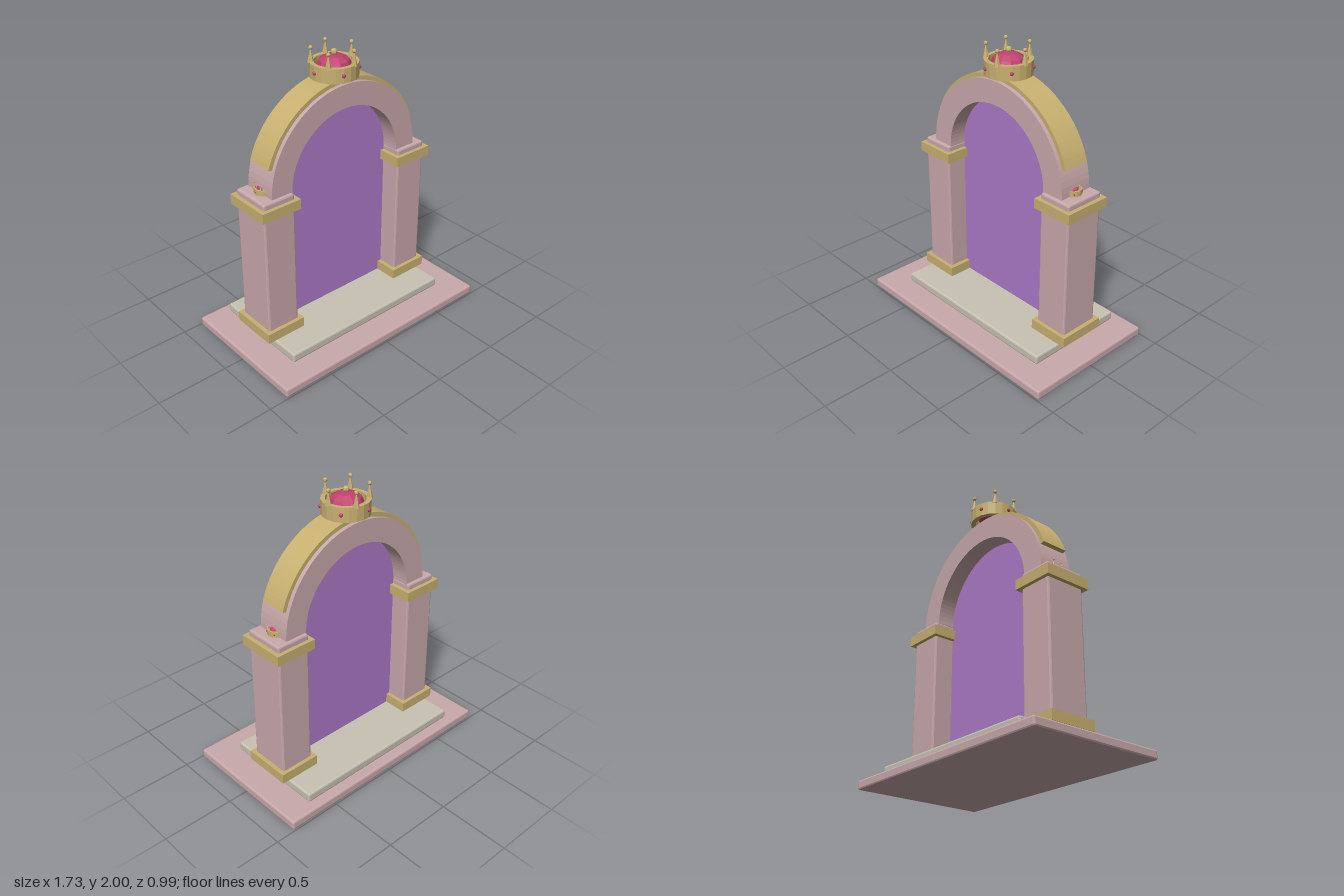
import * as THREE from 'three';
import { RoundedBoxGeometry } from 'three/addons/geometries/RoundedBoxGeometry.js';

const paint = (name, color, side = THREE.FrontSide) =>
  Object.assign(new THREE.MeshStandardMaterial({ color, side }), { name });

// Faceted normals without touching the material
function faceted(geometry) {
  const g = geometry.index ? geometry.toNonIndexed() : geometry;
  g.computeVertexNormals();
  return g;
}

export function createModel() {
  const model = new THREE.Group();
  model.name = 'archPortal';
  const pink = paint('pinkStone', 0xc9a9ab);
  const stone = paint('paleStone', 0xc8c2b3);
  const gold = paint('gold', 0xc8b070);
  const ruby = paint('ruby', 0xc0426f);
  const purple = paint('portalPurple', 0xad7ac8, THREE.DoubleSide);

  const Z = -0.053;        // depth centre of the gate
  const SPRING = 1.165;    // height where the arch starts

  function add(parent, name, geometry, material, x = 0, y = 0, z = 0) {
    const mesh = new THREE.Mesh(faceted(geometry), material);
    mesh.name = name;
    mesh.position.set(x, y, z);
    parent.add(mesh);
    return mesh;
  }
  // Chamfered block standing on y0
  const block = (name, w, y0, y1, d, material, x, z) =>
    add(model, name, new RoundedBoxGeometry(w, y1 - y0, d, 1, 0.012), material, x, (y0 + y1) / 2, z);
  // Curved bar of the given radii, centred on the gate depth
  function archBar(name, inner, outer, start, depth, material) {
    const shape = new THREE.Shape();
    shape.absarc(0, 0, outer, start, Math.PI - start, false);
    shape.absarc(0, 0, inner, Math.PI - start, start, true);
    const geo = new THREE.ExtrudeGeometry(shape, { depth, bevelEnabled: false, curveSegments: 24 });
    add(model, name, geo, material, 0, SPRING, Z - depth / 2);
  }

  // Stepped base
  block('baseSlab', 1.725, 0, 0.065, 0.985, pink, 0, 0);
  block('step', 1.335, 0.065, 0.13, 0.74, stone, 0, Z);

  // Piers with gold bands
  for (const side of [1, -1]) {
    block('pier', 0.24, 0.13, 1.17, 0.29, pink, side * 0.57, Z);
    for (const y of [0.165, 1.095])
      add(model, 'pierBand', new THREE.BoxGeometry(0.298, 0.07, 0.344), gold, side * 0.57, y, Z);
  }

  // Arch and its gold cover
  archBar('arch', 0.45, 0.61, 0, 0.246, pink);
  archBar('archTrim', 0.608, 0.638, Math.PI * 0.1, 0.19, gold);

  // Portal sheet filling the opening
  const opening = new THREE.Shape();
  opening.moveTo(-0.455, 0.13);
  opening.lineTo(0.455, 0.13);
  opening.lineTo(0.455, SPRING);
  opening.absarc(0, SPRING, 0.455, 0, Math.PI, false);
  add(model, 'portal', new THREE.ShapeGeometry(opening, 24), purple, 0, 0, Z);

  // Crown: open band, domed gem, five spikes and five studs between them
  function crown(name, x, y, scale) {
    const group = new THREE.Group();
    group.name = name;
    const ring = [[0.13, 0], [0.16, 0], [0.16, 0.098], [0.13, 0.098], [0.13, 0]];
    add(group, 'crownBand', new THREE.LatheGeometry(ring.map(p => new THREE.Vector2(...p)), 20), gold);
    add(group, 'crownGem', new THREE.SphereGeometry(0.115, 10, 6), ruby, 0, 0.072, 0).scale.y = 0.6;
    add(group, 'topBead', new THREE.SphereGeometry(0.021, 8, 6), gold, 0, 0.155, 0);
    for (let i = 0; i < 5; i++) {
      const a = i * Math.PI * 0.4, b = a + Math.PI * 0.2;
      const px = Math.cos(a) * 0.146, pz = Math.sin(a) * 0.146;
      add(group, 'spike', new THREE.ConeGeometry(0.022, 0.1, 6), gold, px, 0.138, pz);
      add(group, 'spikeBead', new THREE.SphereGeometry(0.014, 8, 6), gold, px, 0.186, pz);
      add(group, 'stud', new THREE.SphereGeometry(0.014, 8, 6), ruby,
        Math.cos(b) * 0.158, 0.05, Math.sin(b) * 0.158);
    }
    group.position.set(x, y, Z);
    group.scale.setScalar(scale);
    model.add(group);
  }
  crown('mainCrown', 0, 1.8, 1);
  crown('leftCrown', 0.582, 1.168, 0.39);
  crown('rightCrown', -0.582, 1.168, 0.39);

  return model;
}
